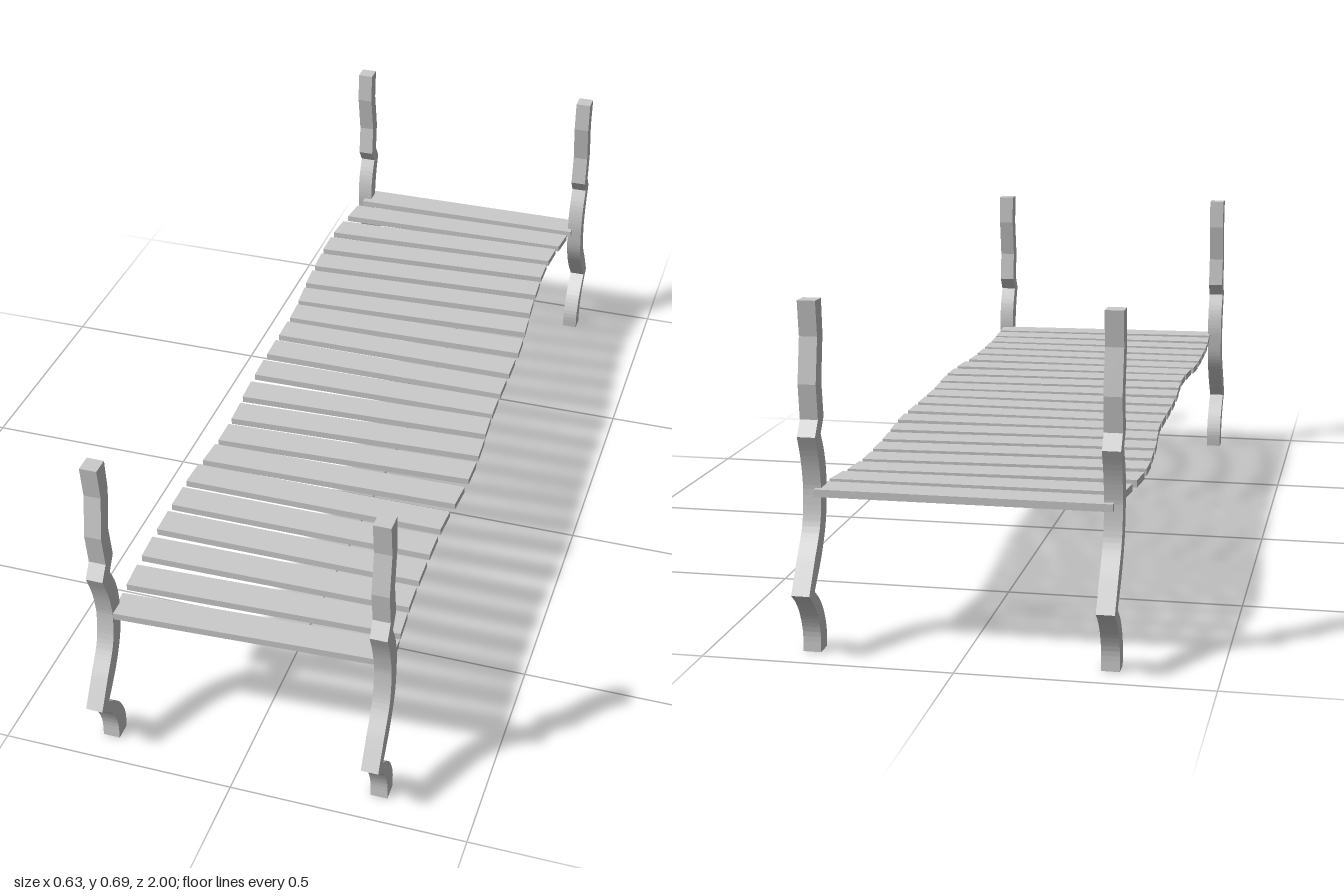
import * as THREE from 'three';
import { toCreasedNormals } from 'three/addons/utils/BufferGeometryUtils.js';

const material = new THREE.MeshStandardMaterial({ color: 0xcccccc });

// Post profile, bottom to top: [height, outer z, inner z], split at the sharp kinks.
const foot = [[0, 0.936, 0.899], [0.04, 0.936, 0.898], [0.08, 0.951, 0.914], [0.11, 0.973, 0.938], [0.133, 1.0, 0.966]];
const belly = [[0.133, 1.0, 0.966], [0.19, 0.963, 0.918], [0.25, 0.923, 0.886], [0.31, 0.911, 0.876],
  [0.35, 0.914, 0.876], [0.39, 0.924, 0.885], [0.43, 0.94, 0.904]];
const top = [[0.46, 0.919, 0.883], [0.53, 0.927, 0.892], [0.62, 0.911, 0.877], [0.69, 0.918, 0.881]];

// Slat shape, back to front: [sideways shift, tilt across the width].
const slats = [
  [0, 0], [-0.01, 0.014], [-0.021, 0.038], [-0.024, 0.048], [-0.02, 0.048], [-0.015, 0.046], [-0.007, 0.04],
  [0, 0.018], [0.001, 0], [0.001, 0], [0.002, 0.012], [0.005, 0.036], [0.011, 0.045], [0.013, 0.042],
  [0.009, 0.02], [0.001, 0], [0, 0], [0.001, 0], [0.003, 0.012], [0.008, 0.035], [0.014, 0.048],
];

const POST_WIDTH = 0.036;
const SLAT_PITCH = 0.0877;

// Wavy post cut from a side profile; end = 1 for the front, -1 for the back.
function makePost(x, end) {
  const outer = r => new THREE.Vector2(end * r[1], r[0]);
  const inner = r => new THREE.Vector2(end * r[2], r[0]);
  const shape = new THREE.Shape();
  shape.moveTo(end * foot[0][1], 0);
  shape.splineThru(foot.slice(1).map(outer));
  shape.splineThru(belly.slice(1).map(outer));
  top.forEach(r => shape.lineTo(end * r[1], r[0]));
  [...top].reverse().forEach(r => shape.lineTo(end * r[2], r[0]));
  const kink = belly[belly.length - 1];
  shape.lineTo(end * kink[2], kink[0]);
  shape.splineThru(belly.slice(0, -1).reverse().map(inner));
  shape.splineThru(foot.slice(0, -1).reverse().map(inner));
  shape.closePath();

  const geometry = new THREE.ExtrudeGeometry(shape, { depth: POST_WIDTH, bevelEnabled: false, curveSegments: 20 });
  geometry.rotateY(-Math.PI / 2);
  geometry.translate(x + POST_WIDTH / 2, 0, 0);
  return new THREE.Mesh(toCreasedNormals(geometry, 0.2), material);
}

// Flat slat sheared to follow the weaving centre line of the deck.
function makeSlat(i) {
  const [shift, tilt] = slats[i];
  const before = slats[Math.max(i - 1, 0)][0];
  const after = slats[Math.min(i + 1, slats.length - 1)][0];
  const skew = i === 0 ? 0 : (after - before) / (2 * SLAT_PITCH);
  const geometry = new THREE.BoxGeometry(0.582, 0.015, 0.065);
  const p = geometry.attributes.position;
  for (let v = 0; v < p.count; v++) {
    const x = p.getX(v), z = p.getZ(v);
    p.setX(v, x + skew * z + shift);
    p.setZ(v, z - tilt * x);
  }
  geometry.computeVertexNormals();
  const slat = new THREE.Mesh(geometry, material);
  slat.position.set(0, 0.3165, -0.891 + i * SLAT_PITCH);
  return slat;
}

export function createModel() {
  const model = new THREE.Group();
  model.name = 'slattedBedFrame';

  // Four corner posts
  for (const [side, x] of [['Left', 0.298], ['Right', -0.29]]) {
    for (const [place, end] of [['front', 1], ['back', -1]]) {
      const post = makePost(x, end);
      post.name = `${place}${side}Post`;
      model.add(post);
    }
  }

  // Slatted deck
  const deck = new THREE.Group();
  deck.name = 'deck';
  slats.forEach((_, i) => {
    const slat = makeSlat(i);
    slat.name = `slat${i + 1}`;
    deck.add(slat);
  });
  model.add(deck);
  return model;
}
